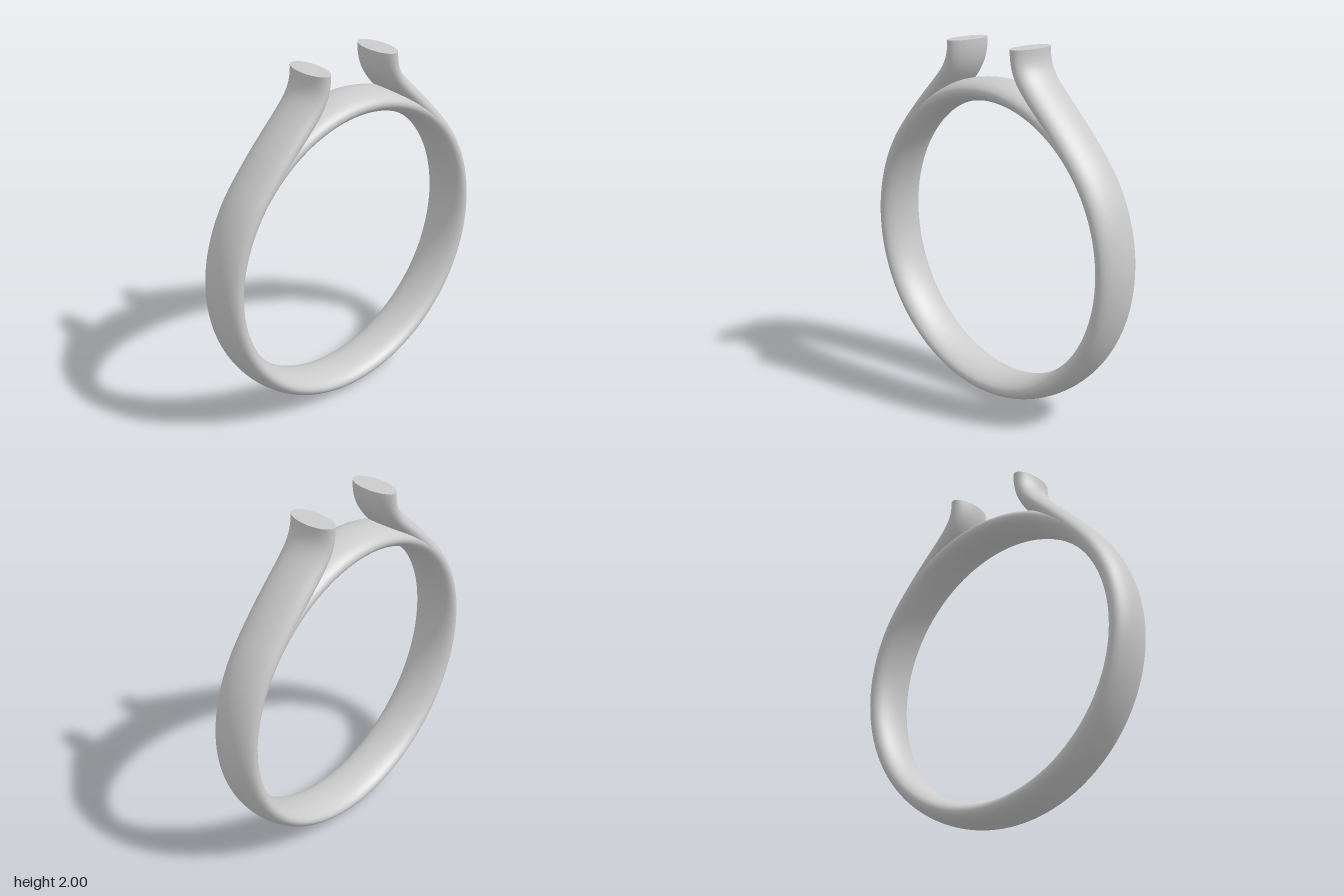
import * as THREE from 'three';

const BAND = 0.0625;        // half thickness of the band
const HALF_WIDTH = 0.139;   // half width of the band along z
const RADIUS = 0.8425;      // centreline radius of the hoop
const CENTRE_Y = RADIUS + BAND;
const STRETCH = HALF_WIDTH / BAND;

export function createModel() {
  const group = new THREE.Group();
  const material = new THREE.MeshStandardMaterial({ color: 0xcccccc });
  const add = (name, geometry, parent) => {
    const mesh = new THREE.Mesh(geometry, material);
    mesh.name = name;
    parent.add(mesh);
    return mesh;
  };

  // Hoop: round torus stretched along z into an oval section
  const hoop = new THREE.TorusGeometry(RADIUS, BAND, 40, 144);
  hoop.scale(1, 1, STRETCH);
  hoop.translate(0, CENTRE_Y, 0);
  add('hoop', hoop, group);

  // Two arms that leave the hoop on a tangent and turn upright
  for (const [side, label] of [[1, 'left'], [-1, 'right']]) {
    const arm = new THREE.Group();
    arm.name = label + 'Arm';
    group.add(arm);

    const angle = THREE.MathUtils.degToRad(40);
    const c = Math.cos(angle), s = Math.sin(angle);
    const point = (x, y) => new THREE.Vector3(side * x, y, 0);
    const startX = RADIUS * c, startY = CENTRE_Y + RADIUS * s;
    const path = new THREE.CubicBezierCurve3(
      point(startX, startY),
      point(startX - 0.45 * s, startY + 0.45 * c),
      point(0.235, 1.8),
      point(0.235, 2)
    );
    const stem = new THREE.TubeGeometry(path, 48, BAND, 40);
    stem.scale(1, 1, STRETCH);
    add(label + 'Stem', stem, arm);

    // Flat oval end of the arm
    const cap = new THREE.CircleGeometry(BAND, 40);
    cap.rotateX(-Math.PI / 2);
    cap.scale(1, 1, STRETCH);
    cap.translate(side * 0.235, 2, 0);
    add(label + 'EndCap', cap, arm);
  }
  return group;
}
